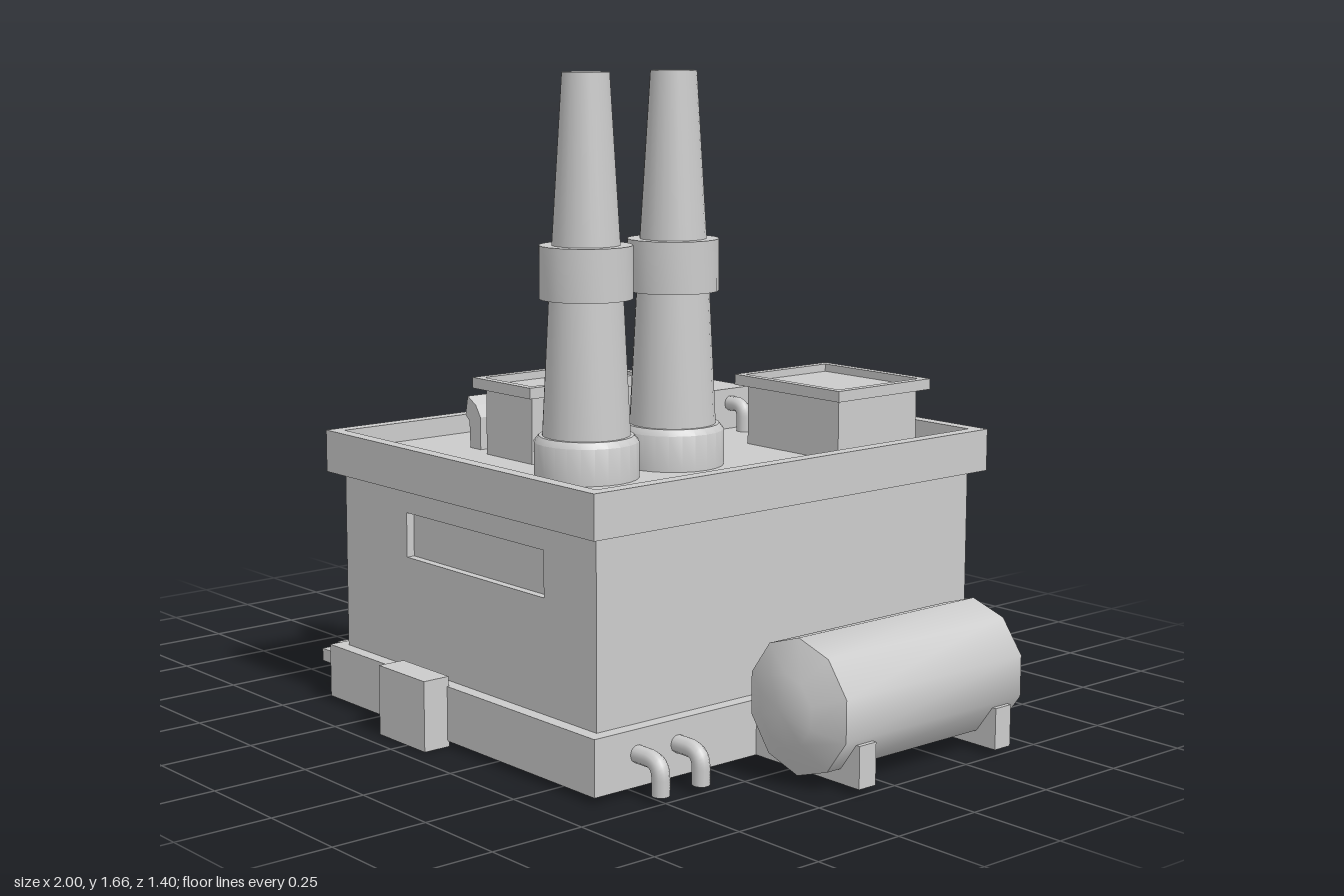
import * as THREE from 'three';
import { toCreasedNormals } from 'three/addons/utils/BufferGeometryUtils.js';

const solid = new THREE.MeshStandardMaterial({ color: 0xcccccc });
const open = new THREE.MeshStandardMaterial({ color: 0xcccccc, side: THREE.DoubleSide });

export function createModel() {
  const root = new THREE.Group();

  const add = (name, geo, mat = solid, parent = root) => {
    const mesh = new THREE.Mesh(geo, mat);
    mesh.name = name;
    parent.add(mesh);
    return mesh;
  };

  // Box given by its limits
  const box = (name, x0, x1, y0, y1, z0, z1, parent = root) => add(name,
    new THREE.BoxGeometry(x1 - x0, y1 - y0, z1 - z0)
      .translate((x0 + x1) / 2, (y0 + y1) / 2, (z0 + z1) / 2), solid, parent);

  // Rectangular loft through [inset, y] steps, optionally closed at the end
  const rectLoft = (x0, x1, z0, z1, steps, cap) => {
    const rings = steps.map(([i, y]) => [
      [x0 + i, y, z1 - i], [x1 - i, y, z1 - i], [x1 - i, y, z0 + i], [x0 + i, y, z0 + i]]);
    const pos = [];
    const quad = (a, b, c, d) => pos.push(...a, ...b, ...c, ...a, ...c, ...d);
    for (let r = 0; r < rings.length - 1; r++)
      for (let k = 0; k < 4; k++) {
        const n = (k + 1) % 4;
        quad(rings[r][k], rings[r][n], rings[r + 1][n], rings[r + 1][k]);
      }
    if (cap) quad(...rings[rings.length - 1]);
    const geo = new THREE.BufferGeometry();
    geo.setAttribute('position', new THREE.Float32BufferAttribute(pos, 3));
    geo.computeVertexNormals();
    return geo;
  };

  const polygon = pts => new THREE.Shape(pts.map(p => new THREE.Vector2(...p)));
  const rect = (u0, u1, v0, v1) => [[u0, v0], [u1, v0], [u1, v1], [u0, v1]];
  const extrude = (shape, depth) => new THREE.ExtrudeGeometry(shape, { depth, bevelEnabled: false });

  // Side profile extruded along z, with the faces on the ground left out
  const hollow = (pts, z0, z1) => {
    const geo = extrude(polygon(pts), z1 - z0).toNonIndexed
      ? extrude(polygon(pts), z1 - z0) : null;
    const src = geo.index ? geo.toNonIndexed() : geo;
    const p = src.attributes.position;
    const out = [];
    for (let t = 0; t < p.count; t += 3) {
      const tri = [0, 1, 2].map(k => [p.getX(t + k), p.getY(t + k), p.getZ(t + k) + z0]);
      if (tri.some(v => v[1] > 0.016)) out.push(...tri.flat());
    }
    const res = new THREE.BufferGeometry();
    res.setAttribute('position', new THREE.Float32BufferAttribute(out, 3));
    res.computeVertexNormals();
    return res;
  };

  const lathe = (pts, sides) => toCreasedNormals(
    new THREE.LatheGeometry(pts.map(p => new THREE.Vector2(...p)), sides), 0.7);

  // Pipe with one rounded bend at the middle point
  const pipe = (name, a, b, c, r, bend) => {
    const [A, B, C] = [a, b, c].map(p => new THREE.Vector3(...p));
    const s = B.clone().add(A.clone().sub(B).setLength(bend));
    const e = B.clone().add(C.clone().sub(B).setLength(bend));
    const path = new THREE.CurvePath();
    path.add(new THREE.LineCurve3(A, s));
    path.add(new THREE.QuadraticBezierCurve3(s, B, e));
    path.add(new THREE.LineCurve3(e, C));
    add(name, new THREE.TubeGeometry(path, 24, r, 10), open);
  };

  // Hollow plinth and parapet roof
  add('plinth', rectLoft(-0.45, 0.65, -0.7, 0.63, [[0, 0.015], [0, 0.155], [0.035, 0.155]]), open);
  add('roof', rectLoft(-0.45, 0.65, -0.7, 0.63,
    [[0.035, 0.62], [0, 0.62], [0, 0.73], [0.035, 0.73], [0.035, 0.68]], true), open);

  // Walls with recessed panels; u runs along the wall, outside is local +z
  const T = 0.025;
  const wall = (name, u0, u1, holes, angle, x, z) => {
    const g = new THREE.Group();
    g.name = name;
    g.rotation.y = angle;
    g.position.set(x, 0, z);
    root.add(g);
    const shape = polygon(rect(u0, u1, 0.155, 0.62));
    for (const h of holes) {
      shape.holes.push(new THREE.Path(rect(...h).map(p => new THREE.Vector2(...p))));
      box('recessedPanel', h[0], h[1], h[2], h[3], -T - 0.005, -T + 0.003, g);
    }
    add('wallSurface', extrude(shape, T).translate(0, 0, -T), solid, g);
    return g;
  };
  const doors = [[-0.515, -0.01], [0.22, 0.465]];
  wall('frontWall', -0.415, 0.615, [[-0.14, 0.42, 0.44, 0.555]], 0, 0, 0.595);
  wall('backWall', -0.615, 0.415, [[-0.41, 0.14, 0.26, 0.555]], Math.PI, 0, -0.665);
  wall('rightWall', -0.595, 0.665, [], Math.PI / 2, 0.615, 0);
  const left = wall('leftWall', -0.665, 0.595,
    [...doors.map(([a, b]) => [a + 0.025, b - 0.025, 0.16, 0.49]), [0.08, 0.55, 0.53, 0.595]],
    -Math.PI / 2, -0.415, 0);

  // Raised door surrounds
  for (const [a, b] of doors) {
    const w = 0.025;
    add('doorFrame', extrude(polygon([[a, 0.155], [a + w, 0.155], [a + w, 0.49], [b - w, 0.49],
      [b - w, 0.155], [b, 0.155], [b, 0.515], [a, 0.515]]), 0.015), solid, left);
  }

  // Ramp and stairs
  add('ramp', hollow([[-1, 0.015], [-0.45, 0.015], [-0.45, 0.155]], -0.53, -0.025), open);
  const steps = [[-0.45, 0.155], [-0.45, 0.015], [-0.76, 0.015]].reverse();
  const profile = [steps[1], steps[2]];
  for (let i = 3; i >= 0; i--) {
    const x = -0.76 + i * 0.0775;
    profile.push([x, 0.05 + i * 0.035], [x, 0.015 + i * 0.035]);
  }
  add('stairs', hollow(profile.reverse(), 0.23, 0.455), open);

  // Ramp railings, tilted with the slope
  for (const z of [-0.52, -0.037]) {
    const g = new THREE.Group();
    g.name = 'railing';
    g.position.set(-0.745, 0.08, z);
    g.rotation.z = Math.atan2(0.14, 0.55);
    root.add(g);
    box('handrail', 0, 0.335, 0.055, 0.065, -0.005, 0.005, g);
    for (let i = 0; i < 5; i++)
      box('railPost', i * 0.072, i * 0.072 + 0.01, -0.005, 0.06, -0.005, 0.005, g);
  }

  // Chimneys
  for (const z of [0.35, 0.07])
    add('chimney', lathe([[0.13, 0.68], [0.13, 0.77], [0.118, 0.785], [0.109, 0.785], [0.092, 1.12],
      [0.115, 1.12], [0.115, 1.25], [0.084, 1.25], [0.058, 1.665], [0, 1.665]], 24))
      .position.set(0.28, 0, z);

  // Roof units with rimmed lids
  for (const [x0, x1, z0, z1, y] of [[-0.145, 0.095, -0.015 + 0.002, 0.38, 0.88], [0.175, 0.56, -0.575, -0.24, 0.865]])
    add('roofUnit', rectLoft(x0, x1, z0, z1, [[0.025, 0.68], [0.025, y - 0.028], [0, y - 0.028],
      [0, y], [0.022, y], [0.022, y - 0.02]], true));

  // Small roof box with elbow pipe, and duct vents
  box('roofBox', -0.15, -0.005, 0.68, 0.79, -0.46, -0.235);
  pipe('roofBoxPipe', [-0.02, 0.75, -0.39], [0.05, 0.75, -0.39], [0.05, 0.68, -0.39], 0.02, 0.03);
  const duct = polygon([[-0.225, 0.68], [-0.18, 0.68], [-0.18, 0.765], [-0.2, 0.795],
    [-0.235, 0.815], [-0.245, 0.765], [-0.228, 0.75]]);
  for (const z of [0.085, 0.24])
    add('ductVent', extrude(duct, 0.09).translate(0, 0, z));

  // Tank, its supports and pipes
  add('tank', lathe([[0, -0.505], [0.09, -0.487], [0.168, -0.445], [0.168, 0.165],
    [0.09, 0.207], [0, 0.225]], 10).rotateX(Math.PI / 2)).position.set(0.84, 0.187, 0);
  for (const z of [0.065, -0.41]) box('tankSupport', 0.65, 1, 0.015, 0.12, z, z + 0.055);
  pipe('tankPipe', [0.6, 0.185, -0.59], [0.83, 0.185, -0.59], [0.83, 0.185, -0.48], 0.025, 0.05);
  for (const z of [0.375, 0.5])
    pipe('drainPipe', [0.64, 0.095, z], [0.733, 0.095, z], [0.733, 0.015, z], 0.022, 0.04);

  // Front cabinet
  box('frontCabinet', -0.12, 0.075, 0, 0.18, 0.625, 0.7);

  return root;
}
